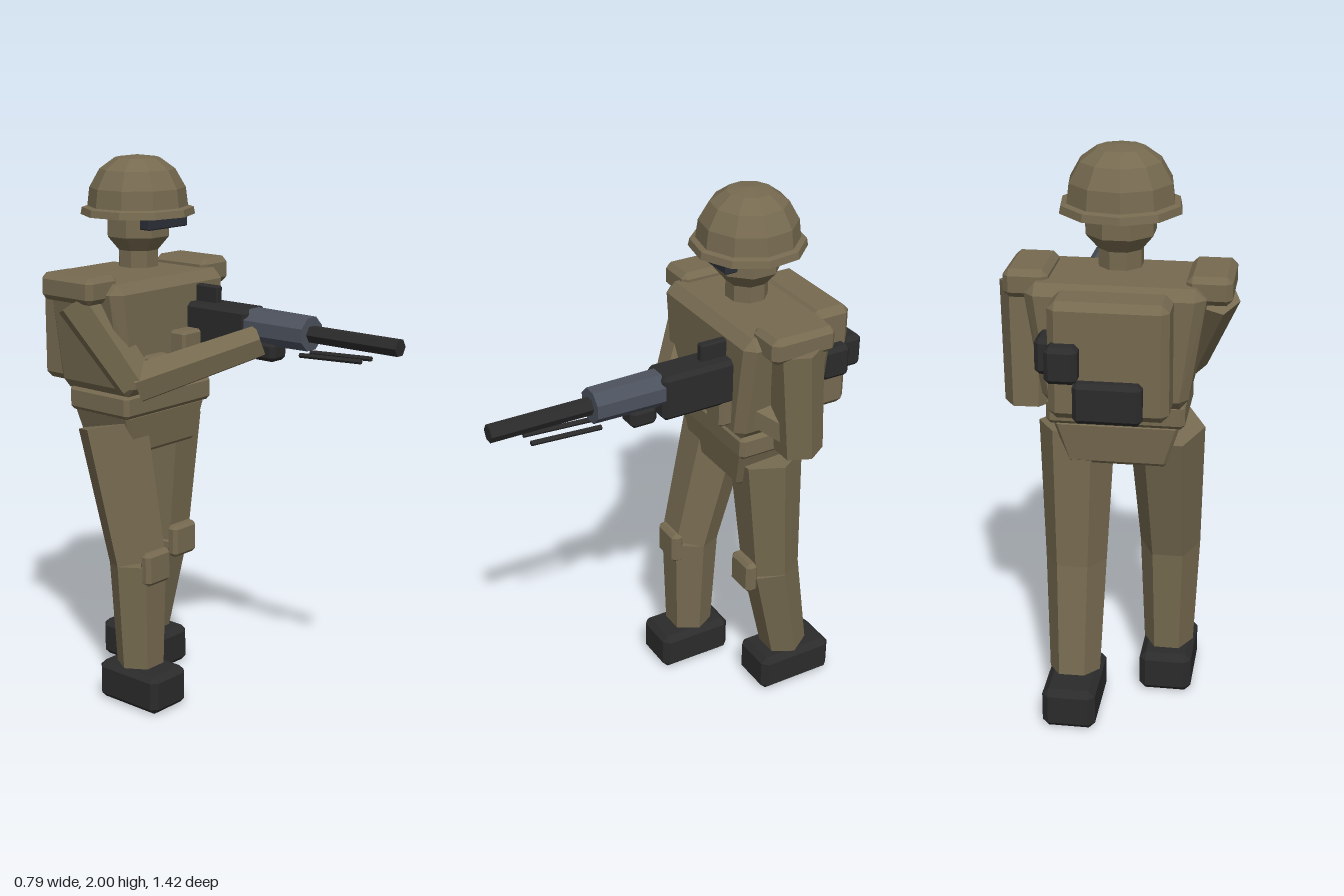
import * as THREE from 'three';
import { ConvexGeometry } from 'three/addons/geometries/ConvexGeometry.js';

const mat = (name, color) => {
  const m = new THREE.MeshStandardMaterial({ color, flatShading: true });
  m.name = name;
  return m;
};

export function createModel() {
  const model = new THREE.Group();
  model.name = 'soldier';
  const cloth = mat('olive cloth', 0x766a50);
  const black = mat('black', 0x2b2b2b);
  const steel = mat('blue grey steel', 0x4c525d);
  const lens = mat('dark lens', 0x2c2f37);
  const V = (x, y, z) => new THREE.Vector3(x, y, z);

  const add = (name, geometry, material) => {
    const mesh = new THREE.Mesh(geometry, material);
    mesh.name = name;
    model.add(mesh);
    return mesh;
  };

  // Chamfered box given by its ranges; taper scales the width and depth of its bottom
  const box = (name, material, [x0, x1], [y0, y1], [z0, z1], c = 0.015, taper = [1, 1]) => {
    const h = [(x1 - x0) / 2, (y1 - y0) / 2, (z1 - z0) / 2];
    const pts = [];
    for (const sx of [-1, 1]) for (const sy of [-1, 1]) for (const sz of [-1, 1])
      for (let face = 0; face < 3; face++) {
        const p = [sx, sy, sz].map((s, i) => s * (h[i] - (i === face ? 0 : c)));
        const kx = sy < 0 ? taper[0] : 1, kz = sy < 0 ? taper[1] : 1;
        pts.push(V(p[0] * kx, p[1], p[2] * kz));
      }
    const mesh = add(name, new ConvexGeometry(pts), material);
    mesh.position.set((x0 + x1) / 2, (y0 + y1) / 2, (z0 + z1) / 2);
    return mesh;
  };

  // Tapered prism running from point a to point b
  const limb = (name, material, a, b, ra, rb, sides = 6) => {
    const dir = b.clone().sub(a);
    const g = new THREE.CylinderGeometry(ra, rb, dir.length(), sides);
    g.rotateY(Math.PI / (sides === 6 ? 6 : 8));
    const mesh = add(name, g, material);
    mesh.position.copy(a).lerp(b, 0.5);
    mesh.quaternion.setFromUnitVectors(V(0, -1, 0), dir.normalize());
    return mesh;
  };

  const lathe = (name, material, profile, sides, turn) => {
    const g = new THREE.LatheGeometry(profile.map(([r, y]) => new THREE.Vector2(r, y)), sides);
    g.rotateY(turn);
    add(name, g, material).position.set(-0.008, 0, -0.34);
  };

  // Head, neck, goggles and helmet
  lathe('neck', cloth, [[0, 1.605], [0.075, 1.605], [0.075, 1.68], [0, 1.68]], 8, Math.PI / 8);
  lathe('head', cloth, [[0, 1.665], [0.075, 1.665], [0.118, 1.715], [0.118, 1.8], [0, 1.8]], 8, Math.PI / 8);
  box('goggles', lens, [-0.108, 0.092], [1.75, 1.79], [-0.24, -0.19], 0.004);
  lathe('helmet', cloth, [[0, 1.79], [0.205, 1.79], [0.2, 1.815], [0.18, 1.82], [0.172, 1.885],
    [0.135, 1.95], [0.08, 1.99], [0, 2]], 10, 0.12);

  // Torso, waist and backpack
  box('torso', cloth, [-0.3, 0.285], [1.17, 1.58], [-0.525, -0.168], 0.035, [0.82, 1]);
  box('belt', cloth, [-0.235, 0.225], [1.09, 1.18], [-0.485, -0.19], 0.015);
  box('pelvis', cloth, [-0.215, 0.2], [0.945, 1.1], [-0.475, -0.205], 0.012, [0.8, 0.9]);
  box('backpack', cloth, [-0.2, 0.185], [1.18, 1.57], [-0.655, -0.5], 0.025);
  box('upperPackPouch', black, [0.08, 0.185], [1.32, 1.44], [-0.71, -0.63]);
  box('lowerPackPouch', black, [-0.12, 0.1], [1.185, 1.32], [-0.695, -0.63]);
  box('sidePackPouch', black, [0.16, 0.23], [1.32, 1.44], [-0.63, -0.52]);
  for (const [x, y, z] of [[-0.12, 1.26, -0.13], [0.025, 1.33, -0.105], [0.135, 1.285, -0.125]])
    box('chestPouch', cloth, [x - 0.05, x + 0.05], [y - 0.06, y + 0.06], [-0.2, z], 0.01);

  // Shoulder pads
  for (const x of [-0.305, 0.287])
    box('shoulderPad', cloth, [x - 0.074, x + 0.074], [1.515, 1.61], [-0.47, -0.22], 0.02);

  // Legs: the right one stands forward, the left one trails
  const legs = [
    { x: -0.16, hip: -0.335, knee: -0.215, ankle: -0.21, foot: [-0.345, -0.055], pad: -0.105 },
    { x: 0.143, hip: -0.345, knee: -0.382, ankle: -0.46, foot: [-0.625, -0.32], pad: -0.248 },
  ];
  for (const { x, hip, knee, ankle, foot, pad } of legs) {
    const s = Math.sign(x), k = V(x + s * 0.003, 0.55, knee);
    limb('thigh', cloth, V(x, 1.045, hip), k, 0.13, 0.106);
    limb('shin', cloth, k, V(x, 0.15, ankle), 0.106, 0.088);
    box('kneePad', cloth, [x - 0.062, x + 0.062], [0.48, 0.605], [pad - 0.05, pad], 0.014);
    box('boot', black, [x - 0.092, x + 0.092], [0, 0.147], foot, 0.022);
  }

  // Right arm reaches across to the gun, left arm hangs behind the grip
  const rightElbow = V(-0.205, 1.225, -0.17);
  limb('rightUpperArm', cloth, V(-0.31, 1.52, -0.34), rightElbow, 0.09, 0.075);
  limb('rightForearm', cloth, rightElbow, V(0.1, 1.375, 0.14), 0.075, 0.062);
  box('rightGlove', black, [0.085, 0.17], [1.305, 1.375], [0.11, 0.21]);
  const leftElbow = V(0.295, 1.13, -0.38);
  limb('leftUpperArm', cloth, V(0.3, 1.54, -0.345), leftElbow, 0.095, 0.085);
  limb('leftForearm', cloth, V(0.28, 1.2, -0.37), V(0.15, 1.31, -0.2), 0.07, 0.06);

  // Gun
  const gx = 0.128;
  box('receiver', black, [gx - 0.064, gx + 0.064], [1.315, 1.48], [-0.3, 0.1], 0.015);
  box('sight', black, [gx - 0.016, gx + 0.016], [1.47, 1.54], [-0.18, -0.07], 0.005);
  limb('handguard', steel, V(gx, 1.42, 0.09), V(gx, 1.42, 0.345), 0.065, 0.062, 8);
  limb('barrel', black, V(gx, 1.42, 0.33), V(gx, 1.42, 0.71), 0.031, 0.031);
  for (const s of [-1, 1])
    limb('bipodLeg', black, V(gx + s * 0.03, 1.347, 0.32), V(gx + s * 0.03, 1.36, 0.575), 0.009, 0.009);

  return model;
}
